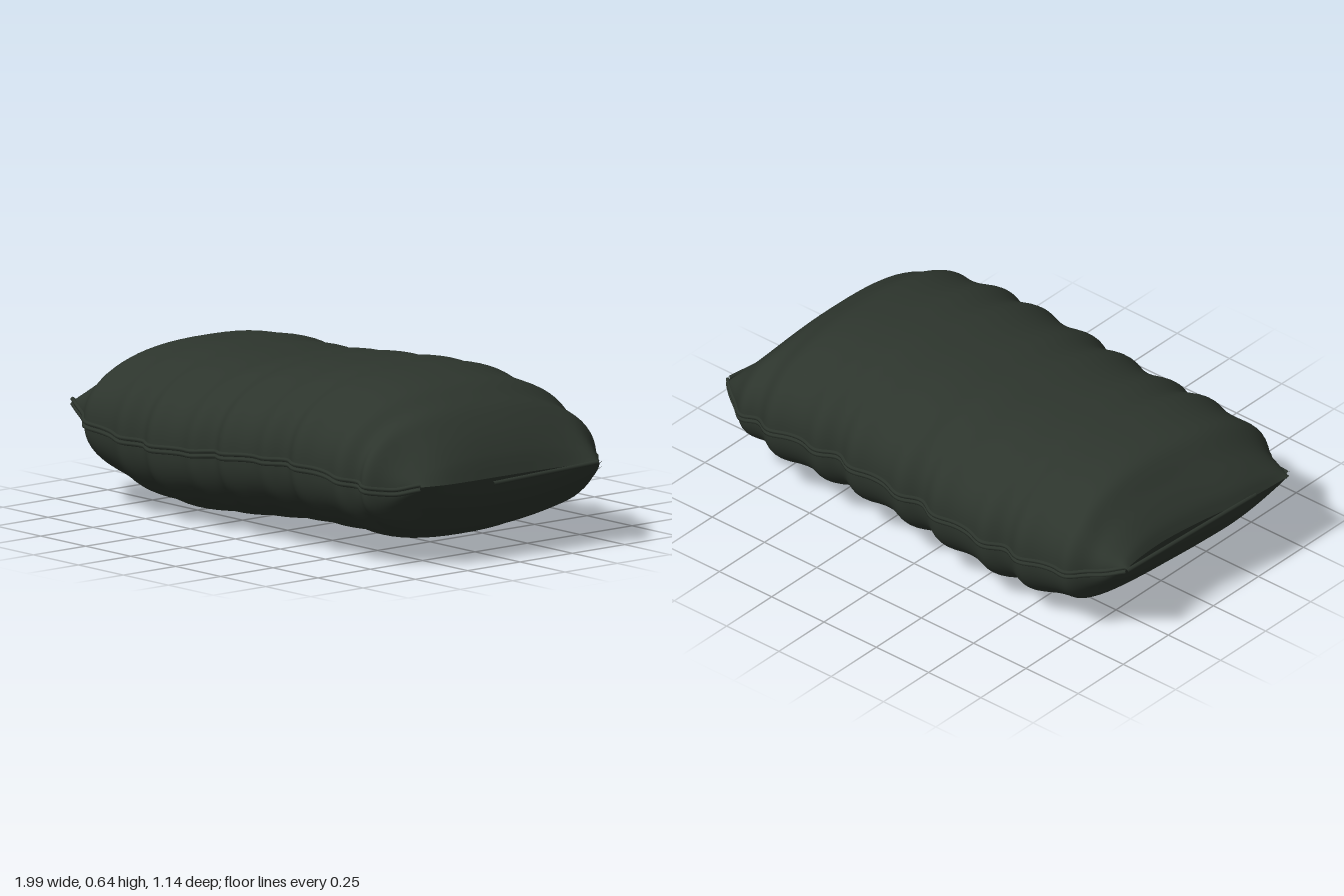
import * as THREE from 'three';

// Smooth curve through [x, y] points
function curve(pts) {
  const n = pts.length;
  const slope = (i) => {
    const a = pts[Math.max(i - 1, 0)], b = pts[Math.min(i + 1, n - 1)];
    return (b[1] - a[1]) / (b[0] - a[0]);
  };
  return (x) => {
    let i = 0;
    while (i < n - 2 && x > pts[i + 1][0]) i++;
    const [x0, y0] = pts[i], [x1, y1] = pts[i + 1], d = x1 - x0;
    const t = Math.min(Math.max((x - x0) / d, 0), 1), s = 1 - t;
    return y0 * (1 + 2 * t) * s * s + slope(i) * d * t * s * s
      + y1 * t * t * (3 - 2 * t) - slope(i + 1) * d * t * t * s;
  };
}

// Profiles along the length
const top = curve([[-1, 0.37], [-0.97, 0.42], [-0.9, 0.49], [-0.78, 0.58], [-0.6, 0.605], [-0.3, 0.6],
  [0, 0.627], [0.4, 0.65], [0.64, 0.62], [0.8, 0.555], [0.9, 0.48], [0.97, 0.39], [1, 0.32]]);
const bottom = curve([[-1, 0.35], [-0.97, 0.28], [-0.9, 0.19], [-0.75, 0.07], [-0.55, 0.02], [-0.35, 0.01],
  [0, 0.04], [0.3, 0.06], [0.6, 0.058], [0.7, 0.07], [0.84, 0.12], [0.93, 0.2], [0.97, 0.25], [1, 0.315]]);
const seamY = curve([[-1, 0.36], [-0.85, 0.32], [-0.4, 0.29], [0, 0.32], [0.35, 0.34], [0.7, 0.315], [0.9, 0.297], [1, 0.32]]);
const halfWidth = curve([[-1, 0.42], [-0.93, 0.45], [-0.8, 0.515], [-0.6, 0.54], [0, 0.545], [0.6, 0.535], [0.8, 0.515], [0.92, 0.45], [1, 0.39]]);
// Where each open end stops, across the depth
const leftEnd = curve([[-0.45, -0.96], [-0.38, -0.94], [-0.2, -0.93], [0, -0.95], [0.2, -0.985], [0.42, -1]]);
const rightEnd = curve([[-0.4, 0.99], [-0.32, 0.96], [-0.2, 0.945], [0, 0.94], [0.28, 0.935], [0.4, 0.91]]);

// Point on the cushion: u along the length, a around the section
function surface(u, a) {
  const ca = Math.cos(a), sa = Math.sin(a), p = 2 / 2.35;
  const fade = 1 - THREE.MathUtils.smoothstep(Math.abs(u), 0.75, 1);
  const phase = u + 0.56 + (ca > 0 ? 0.03 : 0) * Math.abs(ca);
  const pucker = Math.cos(phase * Math.PI * 2 / 0.2) + 0.3 * Math.sin(phase * 47);
  const r = 1 + pucker * fade * (0.022 * Math.pow(Math.abs(ca), 1.5) + 0.004);
  const z = halfWidth(u) * r * Math.sign(ca) * Math.pow(Math.abs(ca), p);
  const c = seamY(u), h = sa > 0 ? top(u) - c : c - bottom(u);
  const y = c + (Math.abs(u) >= 1 ? 0 : h) * r * Math.sign(sa) * Math.pow(Math.abs(sa), p);
  const shift = u < 0 ? leftEnd(z) + 1 : rightEnd(z) - 1;
  return new THREE.Vector3(u + shift * THREE.MathUtils.smoothstep(Math.abs(u), 0.6, 1), y, z);
}

function cushionGeometry() {
  const rings = 160, sides = 72, pos = [], index = [];
  for (let i = 0; i <= rings; i++) {
    const u = -1 + 2 * i / rings;
    for (let j = 0; j < sides; j++) pos.push(...surface(u, j / sides * Math.PI * 2).toArray());
  }
  for (let i = 0; i < rings; i++) {
    for (let j = 0; j < sides; j++) {
      const k = (j + 1) % sides;
      const a = i * sides + j, b = a + sides, c = i * sides + k, d = c + sides;
      index.push(a, b, c, b, d, c);
    }
  }
  const g = new THREE.BufferGeometry();
  g.setAttribute('position', new THREE.Float32BufferAttribute(pos, 3));
  g.setIndex(index);
  g.computeVertexNormals();
  return g;
}

export function createModel() {
  const group = new THREE.Group();
  const fabric = new THREE.MeshStandardMaterial({ color: 0x2d352d });
  fabric.name = 'dark green fabric';
  const add = (name, geometry) => {
    const mesh = new THREE.Mesh(geometry, fabric);
    mesh.name = name;
    group.add(mesh);
  };

  add('cushionBody', cushionGeometry());

  // Twin piping along the front and back seams
  for (const [name, angle] of [['frontSeam', 0], ['backSeam', Math.PI]]) {
    for (const dy of [-0.009, 0.009]) {
      const pts = [];
      for (let i = 0; i <= 80; i++) {
        const p = surface(-0.995 + 1.99 * i / 80, angle);
        p.y += dy;
        pts.push(p);
      }
      add(name, new THREE.TubeGeometry(new THREE.CatmullRomCurve3(pts), 160, 0.008, 6));
    }
  }

  // Cords pulled straight across the hollow of each end
  const cords = [
    ['leftEndCord', [0.985, 0.325, -0.385], [0.945, 0.3, 0.08]],
    ['rightEndCord', [-0.955, 0.36, -0.43], [-0.985, 0.36, 0.25]],
  ];
  for (const [name, a, b] of cords) {
    const line = new THREE.LineCurve3(new THREE.Vector3(...a), new THREE.Vector3(...b));
    add(name, new THREE.TubeGeometry(line, 8, 0.008, 6));
  }
  return group;
}
